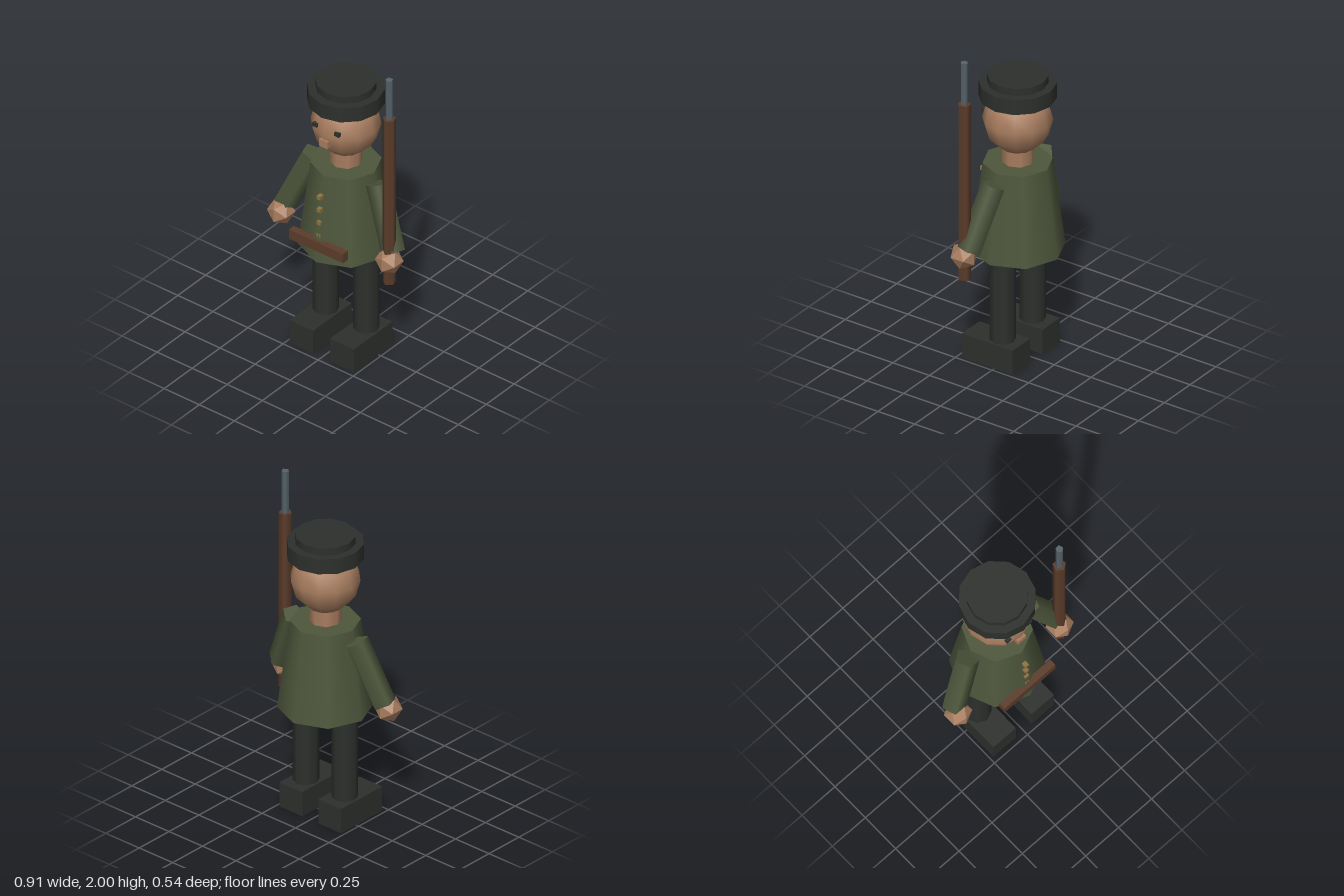
import * as THREE from 'three';

const mat = (color, flatShading = false) => {
  const m = new THREE.MeshStandardMaterial({ color });
  m.flatShading = flatShading;
  return m;
};

export function createModel() {
  const model = new THREE.Group();
  const cloth = mat(0x4e573c), skin = mat(0xa87d5f), handSkin = mat(0xa87d5f, true);
  const dark = mat(0x2d302c), wood = mat(0x5c3d2b), steel = mat(0x56646a), brass = mat(0x8f7440);

  const add = (name, geometry, material, x = 0, y = 0, z = 0) => {
    const mesh = new THREE.Mesh(geometry, material);
    mesh.name = name;
    mesh.position.set(x, y, z);
    model.add(mesh);
    return mesh;
  };
  const box = (name, w, h, d, material, x, y, z) =>
    add(name, new THREE.BoxGeometry(w, h, d), material, x, y, z);
  // Upright cylinder between two heights
  const column = (name, rTop, rBottom, y0, y1, sides, material, x = 0, z = 0) =>
    add(name, new THREE.CylinderGeometry(rTop, rBottom, y1 - y0, sides), material, x, (y0 + y1) / 2, z);

  // Body and head
  column('coat', 0.2, 0.27, 0.68, 1.23, 8, cloth);
  column('neck', 0.09, 0.09, 1.2, 1.36, 8, skin);
  add('head', new THREE.SphereGeometry(0.2, 12, 6), skin, 0, 1.5, 0);
  box('nose', 0.06, 0.045, 0.045, skin, 0, 1.452, 0.183);

  // Cap
  column('capBand', 0.22, 0.22, 1.64, 1.735, 12, dark);
  column('capCrown', 0.173, 0.173, 1.73, 1.78, 12, dark);

  // Belt plate and buttons
  box('belt', 0.385, 0.062, 0.044, wood, 0, 0.788, 0.248);
  for (let i = 0; i < 4; i++) box('button', 0.025, 0.025, 0.03, brass, 0, 1.105 - i * 0.086, 0.232);

  // Mirrored limbs and eyes
  for (const [side, s] of [['left', 1], ['right', -1]]) {
    box(side + 'Eye', 0.034, 0.022, 0.025, dark, s * 0.078, 1.535, 0.172);
    column(side + 'Leg', 0.075, 0.075, 0.14, 0.72, 8, dark, s * 0.145);
    box(side + 'Boot', 0.17, 0.155, 0.345, dark, s * 0.145, 0.0775, 0.046);

    const shoulder = new THREE.Vector3(s * 0.23, 1.175, 0);
    const wrist = new THREE.Vector3(s * 0.385, 0.81, 0.058);
    const axis = shoulder.clone().sub(wrist);
    const sleeve = new THREE.CylinderGeometry(0.072, 0.072, axis.length(), 5).rotateY(Math.PI);
    const arm = add(side + 'Arm', sleeve, cloth);
    arm.position.copy(shoulder).add(wrist).multiplyScalar(0.5);
    arm.quaternion.setFromUnitVectors(new THREE.Vector3(0, 1, 0), axis.normalize());

    add(side + 'Hand', new THREE.IcosahedronGeometry(0.081, 0), handSkin, s * 0.385, 0.768, 0.096);
  }

  // Rifle held upright in the left hand
  column('rifleStock', 0.039, 0.039, 0.62, 1.735, 5, wood, 0.384, 0.095);
  column('rifleBarrel', 0.023, 0.023, 1.72, 2, 5, steel, 0.384, 0.095);

  return model;
}
